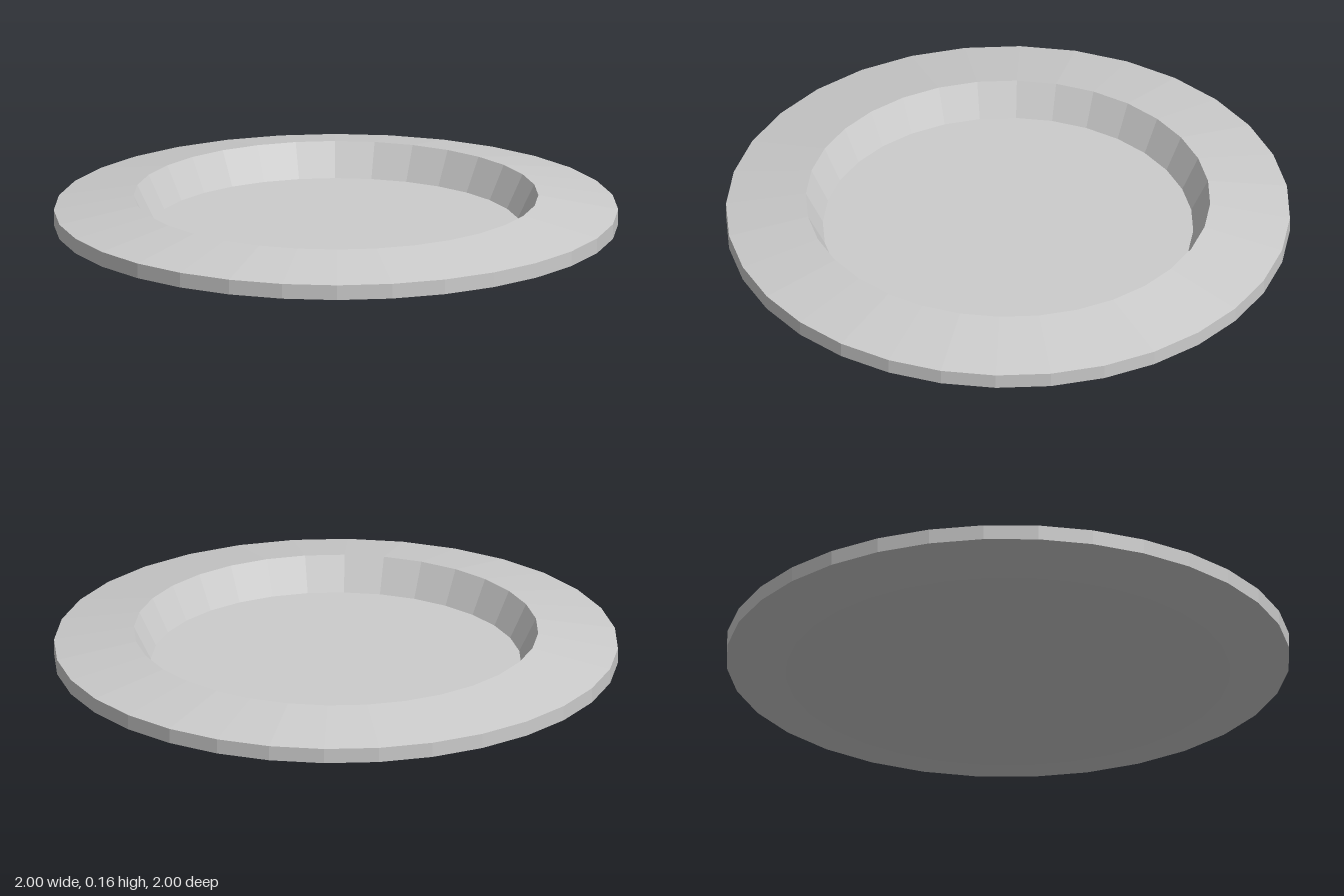
import * as THREE from 'three';

const SIDES = 32;

export function createModel() {
  const group = new THREE.Group();
  group.name = 'plate';

  // Cross-section from the underside centre, round the edge, to the well centre
  const profile = [
    [0, 0],
    [0.79, 0], // foot
    [1, 0.053], // lower edge
    [1, 0.107], // upper edge
    [0.717, 0.16], // rim crest
    [0.657, 0.04], // well floor
    [0, 0.04],
  ].map(([r, y]) => new THREE.Vector2(r, y));

  const material = new THREE.MeshStandardMaterial({ color: 0xcccccc, flatShading: true });
  const dish = new THREE.Mesh(new THREE.LatheGeometry(profile, SIDES), material);
  dish.name = 'dish';
  group.add(dish);

  return group;
}
